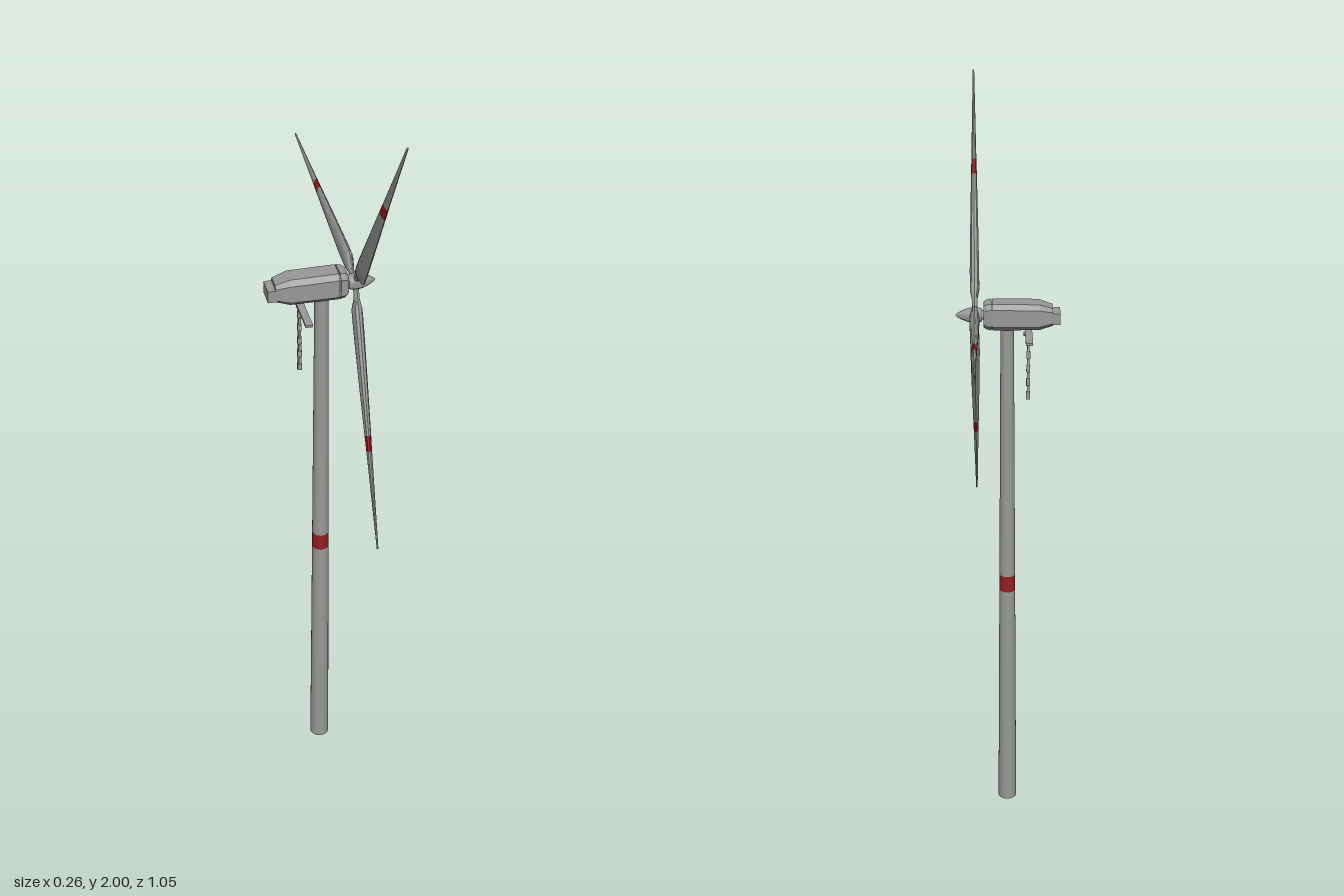
import * as THREE from 'three';
import { toCreasedNormals } from 'three/addons/utils/BufferGeometryUtils.js';

const AXIS_Z = 0.131;  // tower and rotor centre line
const HUB_Y = 1.469;

// Closed skin over cross-sections listed counter-clockwise about the loft axis
function loft(sections, crease = 0.6) {
  const pos = [];
  const tri = (...points) => points.forEach((p) => pos.push(p.x, p.y, p.z));
  const n = sections[0].length;
  for (let i = 0; i < sections.length - 1; i++) {
    for (let j = 0; j < n; j++) {
      const k = (j + 1) % n;
      const [a, b, c, d] = [sections[i][j], sections[i][k], sections[i + 1][k], sections[i + 1][j]];
      tri(a, b, c);
      tri(a, c, d);
    }
  }
  const first = sections[0], last = sections[sections.length - 1];
  for (let j = 1; j < n - 1; j++) {
    tri(first[0], first[j + 1], first[j]);
    tri(last[0], last[j], last[j + 1]);
  }
  const geo = new THREE.BufferGeometry();
  geo.setAttribute('position', new THREE.Float32BufferAttribute(pos, 3));
  return toCreasedNormals(geo, crease);
}

// Bevelled rectangle across the x axis
function hullSection(x, bottom, top, w, c) {
  const h = (top - bottom) / 2, y = (top + bottom) / 2;
  return [
    [h, c - w], [h, w - c], [h - c, w], [c - h, w],
    [-h, w - c], [-h, c - w], [c - h, -w], [h - c, -w],
  ].map(([dy, dz]) => new THREE.Vector3(x, y + dy, dz));
}

// Blade stations: radius, leading edge, trailing edge, thickness
const STATIONS = [
  [0.012, -0.009, 0.009, 0.014],
  [0.04, -0.009, 0.010, 0.014],
  [0.07, -0.012, 0.041, 0.024],
  [0.12, -0.012, 0.039, 0.024],
  [0.25, -0.009, 0.030, 0.020],
  [0.375, -0.007, 0.021, 0.015],
  [0.415, -0.006, 0.018, 0.013],
  [0.55, -0.004, 0.010, 0.008],
  [0.661, -0.002, 0.003, 0.004],
];

function bladeSection([r, lead, trail, thick]) {
  const pts = [];
  const mid = (lead + trail) / 2, half = (trail - lead) / 2;
  for (let i = 0; i < 12; i++) {
    const t = (i / 12) * Math.PI * 2;
    // thins towards the trailing edge
    const taper = 1 - 0.3 * Math.cos(t) * (r > 0.05 ? 1 : 0);
    pts.push(new THREE.Vector3(Math.sin(t) * thick / 2 * taper, r, mid + half * Math.cos(t)));
  }
  return pts;
}

export function createModel() {
  const grey = new THREE.MeshStandardMaterial({ color: 0x999999 });
  grey.name = 'paintedGrey';
  const red = new THREE.MeshStandardMaterial({ color: 0x922020 });
  red.name = 'warningRed';

  const model = new THREE.Group();
  model.name = 'windTurbine';

  const add = (parent, name, geo, mat, x = 0, y = 0, z = 0) => {
    const mesh = new THREE.Mesh(geo, mat);
    mesh.name = name;
    mesh.position.set(x, y, z);
    parent.add(mesh);
    return mesh;
  };

  // Tapering tower with a red band
  const towerRadius = (y) => 0.0255 - 0.0085 * (y / 1.445);
  const towerPart = (name, y0, y1, mat, open) => add(
    model, name,
    new THREE.CylinderGeometry(towerRadius(y1), towerRadius(y0), y1 - y0, 24, 1, open),
    mat, 0, (y0 + y1) / 2, AXIS_Z);
  towerPart('towerLower', 0, 0.68, grey, false);
  towerPart('towerBand', 0.68, 0.727, red, true);
  towerPart('towerUpper', 0.727, 1.445, grey, false);

  // Nacelle
  const nacelle = new THREE.Group();
  nacelle.name = 'nacelle';
  nacelle.position.z = AXIS_Z - 0.003;
  model.add(nacelle);
  add(nacelle, 'nacelleBody', loft([
    hullSection(-0.115, 1.447, 1.492, 0.027, 0.008),
    hullSection(-0.08, 1.437, 1.504, 0.035, 0.012),
    hullSection(0.037, 1.437, 1.506, 0.035, 0.012),
  ], 0.3), grey);
  add(nacelle, 'nacelleSeam', loft([
    hullSection(0.036, 1.440, 1.503, 0.032, 0.011),
    hullSection(0.041, 1.440, 1.503, 0.032, 0.011),
  ], 0.3), grey);
  add(nacelle, 'nacelleCollar', loft([
    hullSection(0.040, 1.437, 1.506, 0.035, 0.012),
    hullSection(0.052, 1.439, 1.504, 0.033, 0.012),
    hullSection(0.060, 1.443, 1.499, 0.029, 0.012),
  ], 0.3), grey);
  add(nacelle, 'rearHatch', new THREE.BoxGeometry(0.024, 0.03, 0.052), grey, -0.122, 1.466, 0.001);

  // Hoist under the nacelle: cross beam, bracket and hanging chain
  const hoist = new THREE.Group();
  hoist.name = 'hoist';
  hoist.position.set(-0.054, 0, AXIS_Z);
  model.add(hoist);
  add(hoist, 'crossBeam', new THREE.BoxGeometry(0.018, 0.006, 0.214), grey, 0, 1.428, 0.002);
  add(hoist, 'hoistMount', new THREE.BoxGeometry(0.014, 0.016, 0.016), grey, 0, 1.434, 0);
  add(hoist, 'hoistBracket', new THREE.BoxGeometry(0.018, 0.008, 0.012), grey, 0.003, 1.418, 0);
  for (let i = 0; i < 10; i++) {
    const wide = i % 2 === 0;
    add(hoist, 'chainLink', new THREE.BoxGeometry(wide ? 0.006 : 0.01, 0.0195, wide ? 0.015 : 0.008),
      grey, 0, 1.416 - 0.0185 * i, 0);
  }

  // Rotor: shaft, spinner and three blades
  const rotor = new THREE.Group();
  rotor.name = 'rotor';
  rotor.position.set(0.082, HUB_Y, AXIS_Z);
  model.add(rotor);
  add(rotor, 'shaft', new THREE.CylinderGeometry(0.012, 0.012, 0.03, 16), grey, -0.025)
    .rotation.z = -Math.PI / 2;
  const profile = [[0, -0.018], [0.016, -0.018], [0.019, -0.012], [0.02, 0.004],
    [0.017, 0.018], [0.011, 0.034], [0.005, 0.044], [0, 0.049]]
    .map(([r, y]) => new THREE.Vector2(r, y));
  add(rotor, 'spinner', toCreasedNormals(new THREE.LatheGeometry(profile, 20), 0.7), grey)
    .rotation.z = -Math.PI / 2;

  const sections = STATIONS.map(bladeSection);
  const bladeParts = [
    ['bladeRoot', loft(sections.slice(0, 6)), grey],
    ['bladeBand', loft(sections.slice(5, 7)), red],
    ['bladeTip', loft(sections.slice(6)), grey],
  ];
  for (let i = 0; i < 3; i++) {
    const blade = new THREE.Group();
    blade.name = 'blade';
    blade.rotation.x = THREE.MathUtils.degToRad(36.5 + 120 * i);
    bladeParts.forEach(([name, geo, mat]) => add(blade, name, geo, mat));
    rotor.add(blade);
  }
  return model;
}
